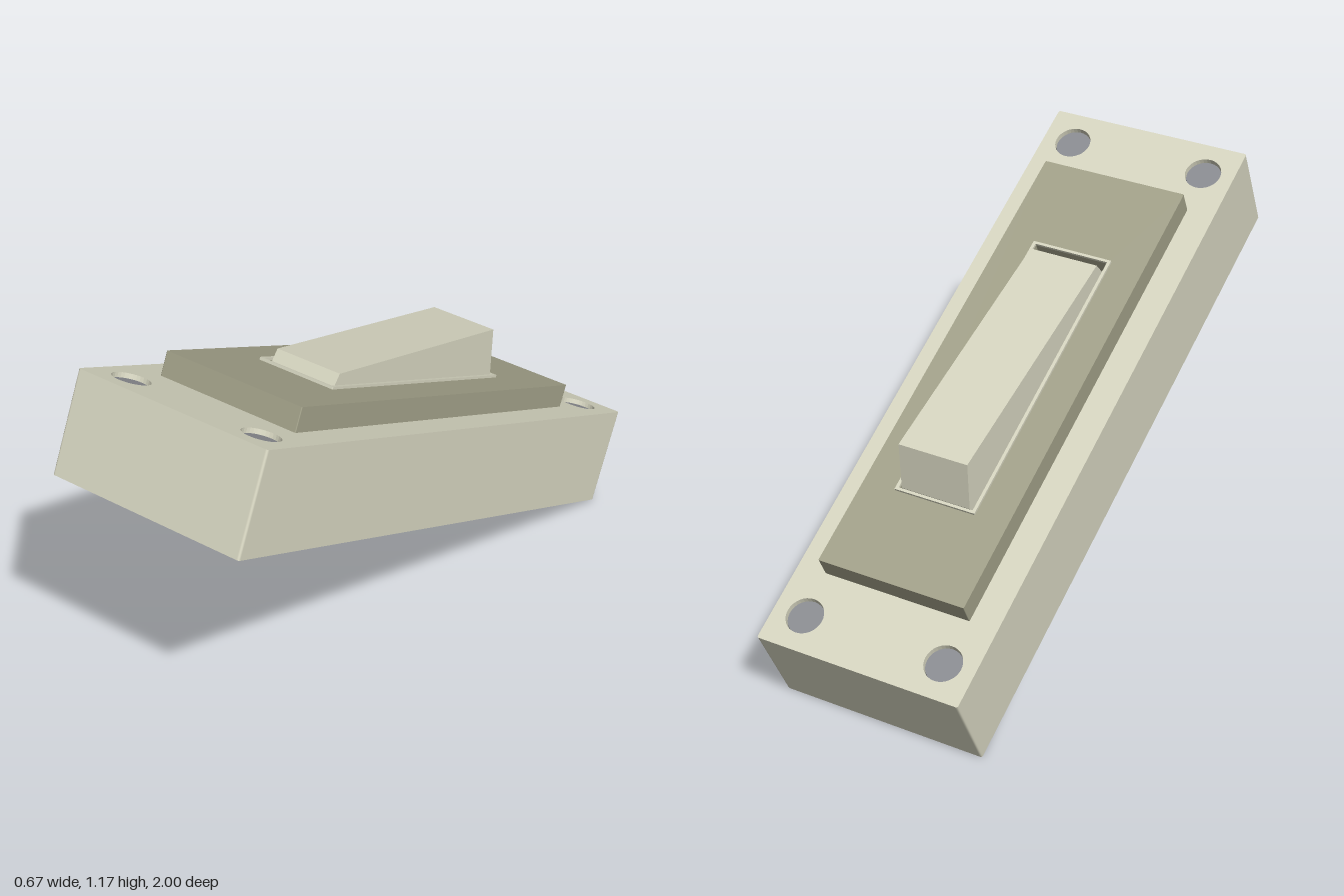
import * as THREE from 'three';

const material = (name, color) => {
  const m = new THREE.MeshStandardMaterial({ color });
  m.name = name;
  return m;
};

// Rectangle with slightly rounded corners, as a closed outline
function rect(Type, width, z0, z1, r) {
  const s = new Type(), w = width / 2, a = -z1, b = -z0;
  s.moveTo(-w + r, a);
  s.lineTo(w - r, a).quadraticCurveTo(w, a, w, a + r);
  s.lineTo(w, b - r).quadraticCurveTo(w, b, w - r, b);
  s.lineTo(-w + r, b).quadraticCurveTo(-w, b, -w, b - r);
  s.lineTo(-w, a + r).quadraticCurveTo(-w, a, -w + r, a);
  return s;
}

// Flat slab lying in the xz plane from y0 to y1
function slab(name, shape, y0, y1, mat) {
  const g = new THREE.ExtrudeGeometry(shape, { depth: y1 - y0, bevelEnabled: false, curveSegments: 16 });
  g.rotateX(-Math.PI / 2).translate(0, y0, 0);
  const mesh = new THREE.Mesh(g, mat);
  mesh.name = name;
  return mesh;
}

export function createModel() {
  const cream = material('cream', 0xd6d5c0);
  const olive = material('olive', 0xa2a189);
  const grey = material('grey', 0x8a8c91);

  const model = new THREE.Group();
  model.name = 'rockerSwitch';
  const body = new THREE.Group();
  body.name = 'tiltedBody';
  body.position.y = 0.587;
  body.rotation.x = -THREE.MathUtils.degToRad(25.5);
  model.add(body);

  // Base block, its top layer pierced by four screw recesses
  const W = 0.667, L = 1.033, top = 0.157, sink = 0.025;
  const lid = rect(THREE.Shape, W, -L, L, 0.008);
  for (const x of [-0.231, 0.231]) {
    for (const z of [-0.922, 0.922]) {
      lid.holes.push(new THREE.Path().absarc(x, -z, 0.058, 0, Math.PI * 2, true));
      const screw = new THREE.Mesh(new THREE.CylinderGeometry(0.056, 0.058, 0.01, 32), grey);
      screw.name = 'screwHead';
      screw.position.set(x, top - sink + 0.005, z);
      body.add(screw);
    }
  }
  body.add(slab('base', rect(THREE.Shape, W, -L, L, 0.008), -top, top - sink, cream));
  body.add(slab('baseTop', lid, top - sink, top, cream));

  // Raised plate with the rocker well
  const plateTop = 0.232;
  const plate = rect(THREE.Shape, 0.484, -0.775, 0.775, 0.003);
  plate.holes.push(rect(THREE.Path, 0.248, -0.479, 0.458, 0.002));
  body.add(slab('plate', plate, top, plateTop, olive));

  // Thin rim around the well
  const rim = rect(THREE.Shape, 0.268, -0.488, 0.467, 0.002);
  rim.holes.push(rect(THREE.Path, 0.248, -0.479, 0.458, 0.002));
  body.add(slab('wellRim', rim, plateTop, plateTop + 0.008, cream));

  // Wedge-shaped rocker, pressed down at the front
  const profile = new THREE.Shape([
    [0.452, 0.16], [0.417, 0.271], [-0.419, 0.388], [-0.478, 0.24], [-0.47, 0.16],
  ].map(([z, y]) => new THREE.Vector2(z, y)));
  const wedge = new THREE.ExtrudeGeometry(profile, { depth: 0.228, bevelEnabled: false });
  wedge.translate(0, 0, -0.114).rotateY(-Math.PI / 2);
  const rocker = new THREE.Mesh(wedge, cream);
  rocker.name = 'rocker';
  body.add(rocker);

  return model;
}
